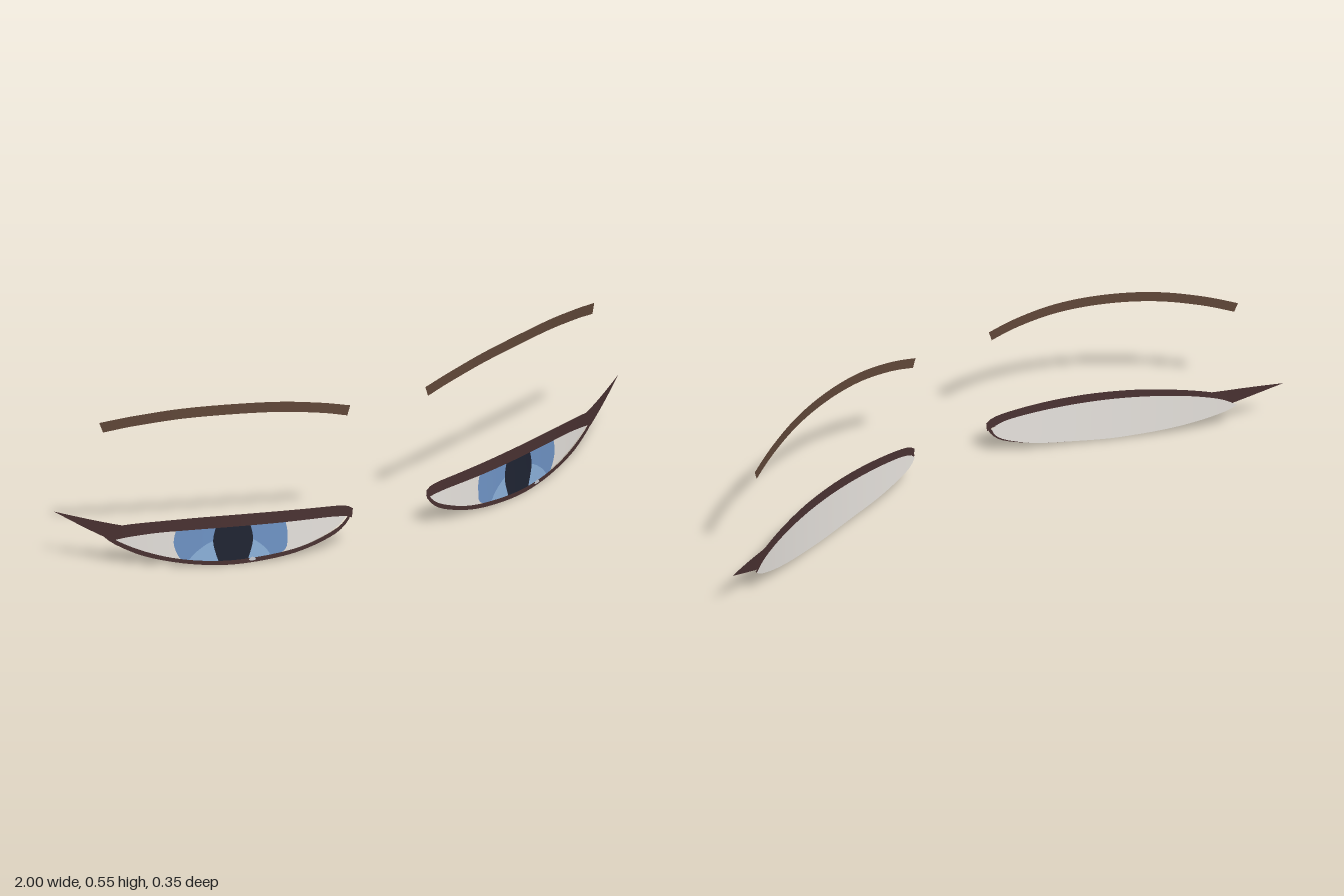
import * as THREE from 'three';

// Depth of the face surface at a distance x from the middle
const faceZ = (x) => 0.16 - 0.216 * (x - 0.13) - 0.372 * (x - 0.13) * (x - 0.5);

// Thin curved sheet spanned between two edge curves and laid on the face
function sheet(name, color, lower, upper, offset, cols = 40, rows = 4) {
  const edge = (pts) => new THREE.SplineCurve(pts.map(([x, y]) => new THREE.Vector2(x, y))).getSpacedPoints(cols);
  const a = edge(lower), b = edge(upper);
  const pos = [], idx = [];
  for (let i = 0; i <= cols; i++) {
    for (let j = 0; j <= rows; j++) {
      const p = a[i].clone().lerp(b[i], j / rows);
      pos.push(p.x, p.y, faceZ(p.x) + offset);
      if (i < cols && j < rows) {
        const k = i * (rows + 1) + j, n = k + rows + 1;
        idx.push(k, n, n + 1, k, n + 1, k + 1);
      }
    }
  }
  const geo = new THREE.BufferGeometry();
  geo.setAttribute('position', new THREE.Float32BufferAttribute(pos, 3));
  geo.setIndex(idx);
  geo.computeVertexNormals();
  const mesh = new THREE.Mesh(geo, new THREE.MeshStandardMaterial({ color, side: THREE.DoubleSide }));
  mesh.name = name;
  return mesh;
}

const LID = 0x4a3232;

function eyeSide() {
  const g = new THREE.Group();

  // Eyebrow
  g.add(sheet('eyebrow', 0x604738,
    [[0.143, 0.463], [0.23, 0.488], [0.36, 0.511], [0.505, 0.518], [0.65, 0.511], [0.78, 0.488], [0.867, 0.463]],
    [[0.133, 0.496], [0.23, 0.523], [0.36, 0.546], [0.505, 0.553], [0.65, 0.546], [0.78, 0.523], [0.877, 0.496]], 0));

  // White of the eye, sitting behind the lids
  g.add(sheet('eyeWhite', 0xe6e2dd,
    [[0.14, 0.125], [0.156, 0.096], [0.2, 0.067], [0.28, 0.036], [0.37, 0.019], [0.5, 0.007], [0.6, 0.012], [0.69, 0.027],
      [0.77, 0.052], [0.84, 0.086], [0.872, 0.112]],
    [[0.14, 0.125], [0.16, 0.14], [0.23, 0.15], [0.5, 0.156], [0.7, 0.15], [0.82, 0.135], [0.872, 0.112]], -0.006));

  // Iris, its lighter lower part and the pupil, layered outwards
  g.add(sheet('iris', 0x6f94c6,
    [[0.345, 0.135], [0.338, 0.08], [0.358, 0.023], [0.5, 0.007], [0.62, 0.014], [0.655, 0.024], [0.675, 0.08], [0.665, 0.135]],
    [[0.345, 0.135], [0.5, 0.142], [0.665, 0.135]], 0));
  g.add(sheet('irisGlow', 0x8cb2dc,
    [[0.39, 0.018], [0.5, 0.008], [0.635, 0.018]],
    [[0.39, 0.018], [0.41, 0.05], [0.45, 0.083], [0.505, 0.096], [0.565, 0.083], [0.61, 0.05], [0.635, 0.018]], 0.002));
  g.add(sheet('pupil', 0x1f2433,
    [[0.455, 0.138], [0.446, 0.08], [0.462, 0.01]],
    [[0.555, 0.138], [0.564, 0.08], [0.548, 0.01]], 0.004, 16));

  // Lids and the pointed outer wing
  g.add(sheet('upperLid', LID,
    [[0.133, 0.112], [0.16, 0.122], [0.25, 0.13], [0.5, 0.133], [0.69, 0.125], [0.79, 0.11], [0.85, 0.093]],
    [[0.13, 0.143], [0.15, 0.156], [0.2, 0.164], [0.35, 0.172], [0.5, 0.174], [0.65, 0.168], [0.82, 0.147], [0.86, 0.115]], 0.011));
  g.add(sheet('lowerLid', LID,
    [[0.132, 0.125], [0.148, 0.095], [0.19, 0.062], [0.28, 0.029], [0.37, 0.011], [0.5, 0], [0.6, 0.005], [0.69, 0.02],
      [0.77, 0.043], [0.84, 0.08], [0.868, 0.105]],
    [[0.141, 0.125], [0.16, 0.098], [0.2, 0.073], [0.28, 0.043], [0.37, 0.026], [0.5, 0.015], [0.6, 0.019], [0.69, 0.034],
      [0.77, 0.06], [0.83, 0.09], [0.85, 0.108]], 0.006));
  g.add(sheet('lidWing', LID,
    [[0.845, 0.093], [0.92, 0.137], [1, 0.188]],
    [[0.78, 0.145], [0.82, 0.148], [0.91, 0.167], [1, 0.188]], 0.014, 20));
  return g;
}

export function createModel() {
  const model = new THREE.Group();
  model.name = 'eyesAndBrows';
  for (const [name, side, glintX] of [['leftEye', 1, 0.585], ['rightEye', -1, 0.45]]) {
    const eye = eyeSide();
    eye.name = name;
    // Small glint at the foot of the iris
    eye.add(sheet('glint', 0xc4c8d0,
      [[glintX - 0.011, 0.012], [glintX, 0.01], [glintX + 0.011, 0.012]],
      [[glintX - 0.009, 0.018], [glintX, 0.023], [glintX + 0.009, 0.018]], 0.009, 8, 1));
    eye.scale.x = side;
    model.add(eye);
  }
  return model;
}
